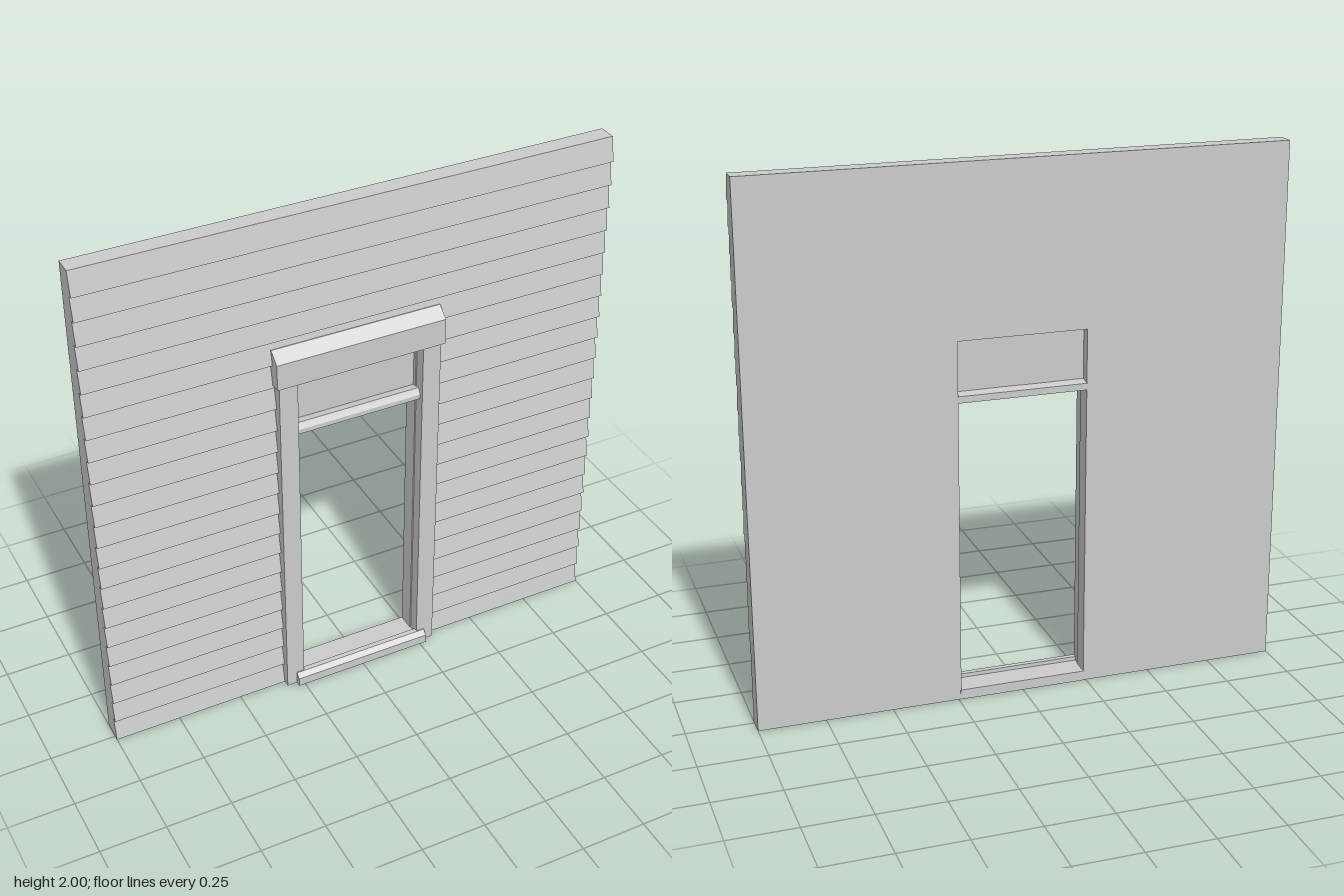
import * as THREE from 'three';

const material = new THREE.MeshStandardMaterial({ color: 0xcccccc, flatShading: true });
const BACK = -0.065;   // rear face of the wall
const OPEN = 0.24;     // half width of the doorway
const HEAD = 1.375;    // top of the doorway

function add(group, name, geometry) {
  const mesh = new THREE.Mesh(geometry, material);
  mesh.name = name;
  group.add(mesh);
  return mesh;
}

// Prism along x from a (z, y) profile, spanning x0..x1
function prism(profile, x0, x1) {
  const shape = new THREE.Shape(profile.map(([z, y]) => new THREE.Vector2(z, y)));
  const g = new THREE.ExtrudeGeometry(shape, { depth: x1 - x0, bevelEnabled: false });
  return g.rotateY(-Math.PI / 2).translate(x1, 0, 0);
}

function box(x0, x1, y0, y1, z0, z1) {
  return new THREE.BoxGeometry(x1 - x0, y1 - y0, z1 - z0)
    .translate((x0 + x1) / 2, (y0 + y1) / 2, (z0 + z1) / 2);
}

export function createModel() {
  const model = new THREE.Group();
  model.name = 'doorwayWall';

  // Wall slab with the doorway cut up from its lower edge
  const outline = [[-1, 0], [-OPEN, 0], [-OPEN, HEAD], [OPEN, HEAD], [OPEN, 0], [1, 0], [1, 2], [-1, 2]];
  const slab = new THREE.Shape(outline.map(([x, y]) => new THREE.Vector2(x, y)));
  add(model, 'wallSlab', new THREE.ExtrudeGeometry(slab, { depth: -BACK, bevelEnabled: false })
    .translate(0, 0, BACK));

  // Overlapping clapboards, split either side of the doorway
  const siding = new THREE.Group();
  siding.name = 'siding';
  model.add(siding);
  const courses = 22, step = 2 / courses;
  for (let i = 0; i < courses; i++) {
    const y0 = i * step, y1 = y0 + step;
    const profile = [[0, y0], [0.02, y0], [0.003, y1], [0, y1]];
    const spans = y0 < HEAD ? [[-1, -0.25], [0.25, 1]] : [[-1, 1]];
    for (const [a, b] of spans) add(siding, 'clapboard', prism(profile, a, b));
  }

  // Side casings
  for (const s of [-1, 1]) {
    add(model, s > 0 ? 'leftCasing' : 'rightCasing',
      box(-0.035, 0.035, 0, HEAD, 0, 0.046)).position.x = s * 0.279;
  }

  // Header board with a sloping drip cap
  add(model, 'header', prism(
    [[0, HEAD], [0.057, HEAD], [0.057, 1.475], [0.012, 1.512], [0, 1.512]], -0.325, 0.325));

  // Transom bar with a bevelled, stepped front
  add(model, 'transomBar', prism(
    [[-0.067, 1.15], [0.032, 1.15], [0.032, 1.168], [0.024, 1.18], [0.018, 1.19], [-0.067, 1.175]],
    -0.243, 0.243));

  // Transom infill of four boards
  for (let i = 0; i < 4; i++) {
    const w = OPEN / 2, x = -OPEN + i * w;
    add(model, 'transomBoard', box(x, x + w, 1.17, HEAD, -0.028 - (i % 2) * 0.001, -0.016));
  }

  // Threshold through the wall and the projecting sill
  add(model, 'threshold', box(-0.243, 0.243, 0, 0.038, -0.067, 0.04));
  add(model, 'sill', prism(
    [[0.03, 0], [0.067, 0], [0.067, 0.035], [0.05, 0.053], [0.03, 0.053]], -0.275, 0.275));

  return model;
}
